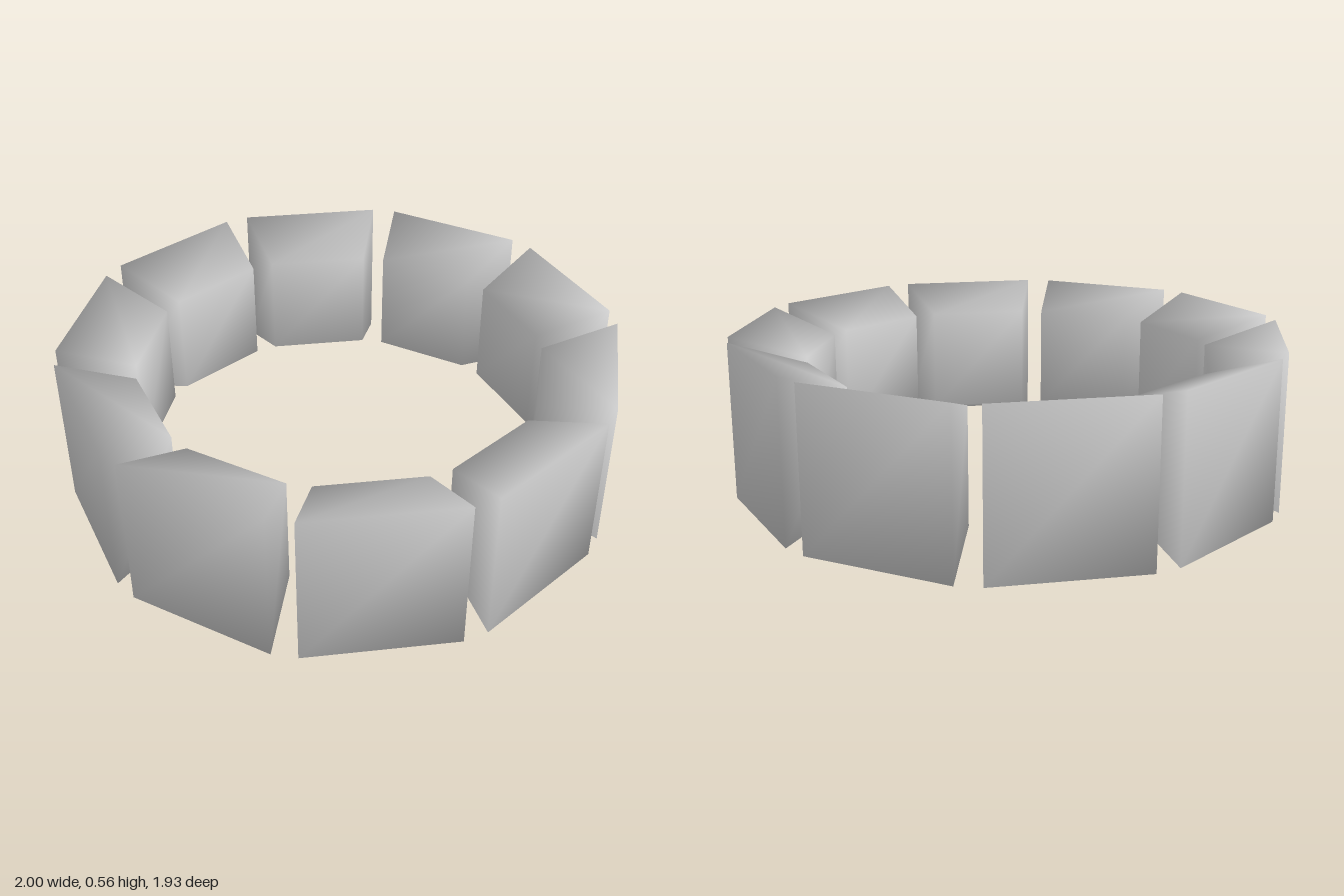
import * as THREE from 'three';
import { mergeVertices } from 'three/addons/utils/BufferGeometryUtils.js';

const COUNT = 10;
const OUTER = 0.964, INNER = 0.705; // distances of the outer and inner faces from the axis
const WIDTH = 0.532, HEIGHT = 0.565; // size of the outer face
const TAPER = 0.7; // inner face relative to the outer one

// One block: a box tapering towards the axis, with shared corners for smooth normals
function blockGeometry() {
  const box = new THREE.BoxGeometry(WIDTH, HEIGHT, OUTER - INNER);
  const p = box.attributes.position;
  for (let i = 0; i < p.count; i++) {
    if (p.getZ(i) < 0) {
      p.setX(i, p.getX(i) * TAPER);
      p.setY(i, p.getY(i) * TAPER);
    }
  }
  box.translate(0, HEIGHT / 2, (OUTER + INNER) / 2);
  box.deleteAttribute('normal');
  box.deleteAttribute('uv');
  const smooth = mergeVertices(box);
  smooth.computeVertexNormals();
  return smooth;
}

export function createModel() {
  const model = new THREE.Group();
  model.name = 'segmentedRing';
  const geometry = blockGeometry();
  const material = new THREE.MeshStandardMaterial({ color: 0xcccccc });

  // Ring of equal blocks, turned very slightly about the axis
  for (let i = 0; i < COUNT; i++) {
    const block = new THREE.Mesh(geometry, material);
    block.name = `ringBlock${i + 1}`;
    block.rotation.y = (i / COUNT) * Math.PI * 2 - 0.009;
    model.add(block);
  }
  return model;
}
